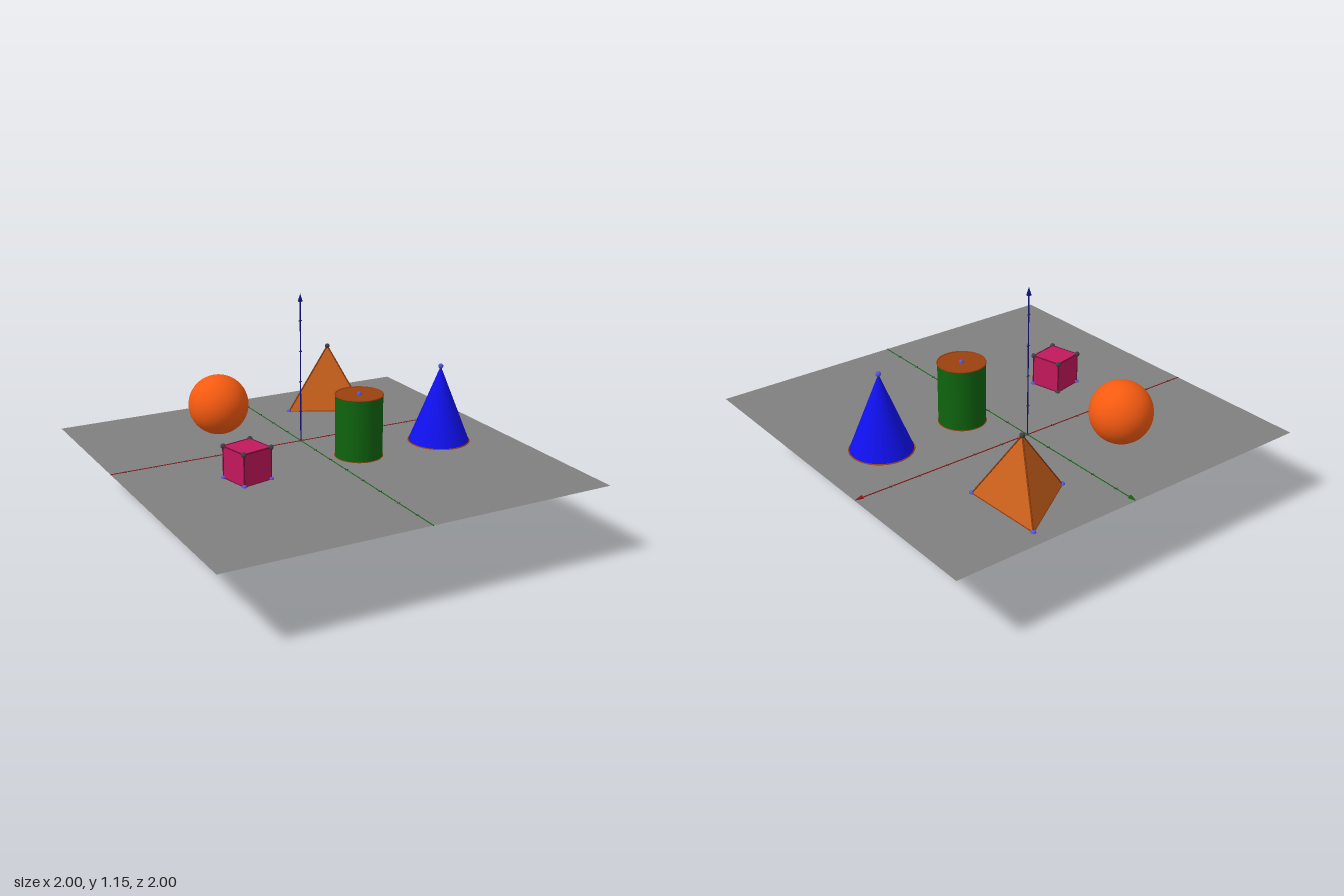
import * as THREE from 'three';

export function createModel() {
  const root = new THREE.Group();
  const Y = 0.38; // height of the floor plane
  const origin = new THREE.Vector3(0.02, Y, -0.235);
  const unit = 0.158; // spacing of the axis ticks
  const V = (x, y, z) => new THREE.Vector3(x, y, z);
  const mat = (color, extra = {}) => new THREE.MeshStandardMaterial({ color, ...extra });
  const blueDot = mat(0x5555dd), darkDot = mat(0x404040);
  const brown = mat(0x9a410f, { side: THREE.DoubleSide });

  function add(parent, name, geometry, material, pos = V(0, 0, 0)) {
    const mesh = new THREE.Mesh(geometry, material);
    mesh.name = name;
    mesh.position.copy(pos);
    parent.add(mesh);
    return mesh;
  }
  function group(name) {
    const g = new THREE.Group();
    g.name = name;
    root.add(g);
    return g;
  }
  // Thin round bar between two points
  function bar(parent, name, a, b, r, material) {
    const d = b.clone().sub(a);
    const m = add(parent, name, new THREE.CylinderGeometry(r, r, d.length(), 6), material, a.clone().lerp(b, 0.5));
    m.quaternion.setFromUnitVectors(V(0, 1, 0), d.normalize());
  }
  const dot = (parent, p, material) =>
    add(parent, 'pointMarker', new THREE.SphereGeometry(0.013, 12, 8), material, p);
  function disc(parent, name, r, pos) {
    add(parent, name, new THREE.CircleGeometry(r, 48), brown, pos).rotation.x = -Math.PI / 2;
  }
  function ring(parent, name, r, pos) {
    add(parent, name, new THREE.TorusGeometry(r, 0.004, 6, 48), brown, pos).rotation.x = Math.PI / 2;
  }

  // Floor
  add(root, 'floor', new THREE.PlaneGeometry(2, 2), mat(0x808080, { side: THREE.DoubleSide }), V(0, Y, 0))
    .rotation.x = -Math.PI / 2;

  // Axes with ticks and arrowheads
  function axis(name, dir, from, to, firstTick, lastTick, color) {
    const g = group(name), m = mat(color);
    const at = t => origin.clone().addScaledVector(dir, t);
    bar(g, 'axisLine', at(from), at(to - 0.035), 0.003, m);
    const tip = add(g, 'arrowhead', new THREE.ConeGeometry(0.012, 0.04, 12), m, at(to - 0.02));
    tip.quaternion.setFromUnitVectors(V(0, 1, 0), dir);
    const side = dir.x ? V(0, 0, 0.008) : V(0.008, 0, 0);
    for (let i = firstTick; i <= lastTick; i++) {
      if (i === 0) continue;
      const p = at(i * unit);
      bar(g, 'tick', p.clone().sub(side), p.clone().add(side), 0.003, darkDot);
    }
  }
  axis('xAxis', V(1, 0, 0), -1.02, 0.98, -6, 5, 0x8b1010);
  axis('depthAxis', V(0, 0, -1), -1.235, 0.765, -7, 4, 0x106010);
  axis('verticalAxis', V(0, 1, 0), -0.38, 0.77, -2, 4, 0x101080);
  dot(root, origin, darkDot).scale.setScalar(0.7);

  // Sphere
  add(root, 'sphere', new THREE.SphereGeometry(0.155, 48, 32), mat(0xf55a10), V(-0.295, Y + 0.155, -0.55));

  // Cylinder with coloured ends
  const cyl = group('cylinder');
  cyl.position.set(0.177, Y, 0.083);
  const h = 0.315, cr = 0.118;
  add(cyl, 'cylinderWall', new THREE.CylinderGeometry(cr, cr, h, 48, 1, true),
    mat(0x0f640f, { side: THREE.DoubleSide }), V(0, h / 2, 0));
  for (const y of [-0.001, h]) {
    disc(cyl, 'cylinderEnd', cr, V(0, y, 0));
    ring(cyl, 'cylinderRim', cr, V(0, y, 0));
    dot(cyl, V(0, y, 0), blueDot);
  }

  // Cone with coloured base
  const cone = group('cone');
  cone.position.set(0.65, Y, 0.083);
  add(cone, 'coneWall', new THREE.ConeGeometry(0.155, 0.393, 48, 1, true),
    mat(0x1010ee, { side: THREE.DoubleSide }), V(0, 0.1965, 0));
  disc(cone, 'coneBase', 0.155, V(0, -0.001, 0));
  ring(cone, 'coneRim', 0.155, V(0, 0, 0));
  dot(cone, V(0, 0, 0), blueDot);
  dot(cone, V(0, 0.393, 0), blueDot);

  // Cube, turned on the floor, with edge bars and corner markers
  const cube = group('cube');
  cube.position.set(-0.447, Y, 0.116);
  cube.rotation.y = 0.22;
  const s = 0.16, k = s / 2, edge = mat(0x701038);
  add(cube, 'cubeBody', new THREE.BoxGeometry(s, s, s), mat(0xc2185b), V(0, k + 0.001, 0));
  const corners = [[-k, -k], [k, -k], [k, k], [-k, k]];
  corners.forEach(([x, z], i) => {
    const [x2, z2] = corners[(i + 1) % 4];
    bar(cube, 'cubeEdge', V(x, 0, z), V(x, s, z), 0.004, edge);
    for (const y of [0, s]) {
      bar(cube, 'cubeEdge', V(x, y, z), V(x2, y, z2), 0.004, edge);
      dot(cube, V(x, y, z), y || i === 1 ? darkDot : blueDot);
    }
  });

  // Three-sided pyramid
  const pyramid = group('pyramid');
  const base = [V(0.537, Y - 0.001, -0.917), V(0.184, Y - 0.001, -0.69), V(0.553, Y - 0.001, -0.5)];
  const apex = V(0.427, 0.718, -0.7);
  const faces = [[base[0], base[2], base[1]]];
  const pyramidEdge = mat(0x8a3c10);
  base.forEach((p, i) => {
    const q = base[(i + 1) % 3];
    faces.push([p, q, apex]);
    bar(pyramid, 'pyramidEdge', p, q, 0.004, pyramidEdge);
    bar(pyramid, 'pyramidEdge', p, apex, 0.004, pyramidEdge);
    dot(pyramid, p, blueDot);
  });
  dot(pyramid, apex, darkDot);
  const geo = new THREE.BufferGeometry().setFromPoints(faces.flat());
  geo.computeVertexNormals();
  add(pyramid, 'pyramidBody', geo, mat(0xcc621c, { flatShading: true, side: THREE.DoubleSide }));

  return root;
}
